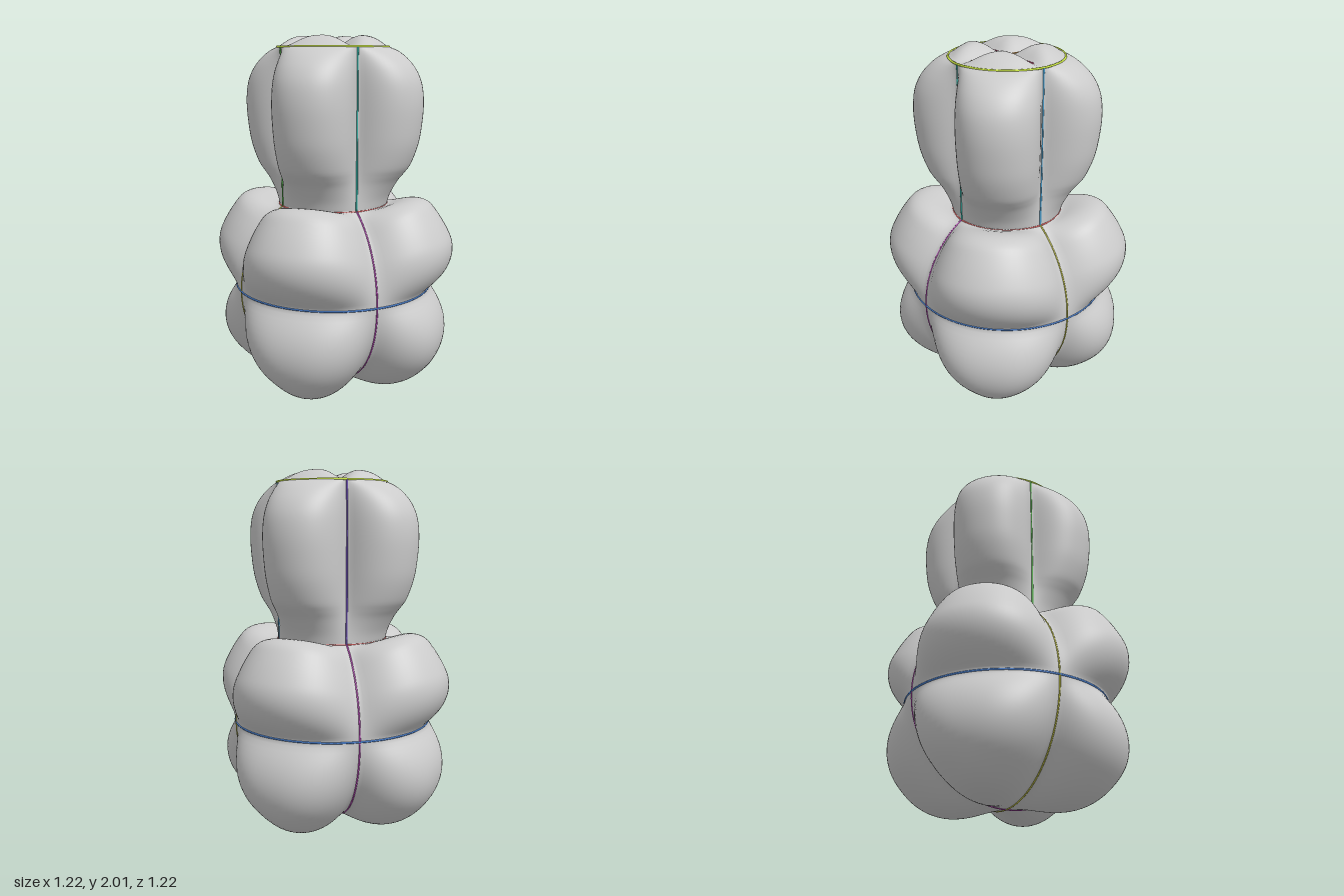
import * as THREE from 'three';

const SPHERE_R = 0.565, SPHERE_Y = 0.59; // lower ball
const NECK_R = 0.31, NECK_Y = 1.06, TOP_Y = 1.94; // upper column
const NECK_ELEV = Math.acos(NECK_R / SPHERE_R);
const SEGMENTS = 128;

// Pillow profile: 0 on a seam, rising quickly to 1 away from it
function puff(t) {
  t = Math.min(Math.max(t, 0), 1);
  const u = (1.1 * t * t) / (t + 0.1);
  return 1 - (1 - u) ** 2;
}

// Bulge of the column lobes by height
const columnBulge = [
  [1.06, 0], [1.12, 0.02], [1.2, 0.065], [1.25, 0.105], [1.3, 0.14], [1.4, 0.178], [1.5, 0.197],
  [1.63, 0.207], [1.74, 0.195], [1.82, 0.16], [1.88, 0.108], [1.92, 0.052], [1.94, 0],
];
const bulgeCurve = new THREE.SplineCurve(columnBulge.map(([y, b]) => new THREE.Vector2(b, y)));

const seamDistance = (c, s) => Math.min(Math.abs(c), Math.abs(s)) / Math.SQRT1_2;

function ballPoint(elev, c, s, swell) {
  const r = SPHERE_R + swell;
  return [r * Math.cos(elev) * c, SPHERE_Y + r * Math.sin(elev), r * Math.cos(elev) * s];
}

// Each section maps v (0..1, upwards) and an angle's cosine and sine to a point
const sections = [
  { // lower ball lobes
    rows: 36,
    point(v, c, s) {
      const e = (v - 1) * Math.PI / 2, k = Math.sqrt(3);
      const h = Math.cos(e) * k;
      const swell = 0.175 * puff(Math.abs(h * c)) * puff(Math.abs(h * s)) * puff(-Math.sin(e) * k);
      return ballPoint(e, c, s, swell);
    },
  },
  { // upper ball lobes
    rows: 36,
    point(v, c, s) {
      const e = v * NECK_ELEV, deg = Math.PI / 180;
      const swell = 0.187 * puff(seamDistance(c, s)) * puff(e / (25 * deg)) * puff((NECK_ELEV - e) / (17 * deg));
      return ballPoint(e, c, s, swell);
    },
  },
  { // column lobes
    rows: 48,
    point(v, c, s) {
      const p = bulgeCurve.getPoint(v);
      const r = NECK_R + p.x * puff(seamDistance(c, s));
      return [r * c, p.y, r * s];
    },
  },
  { // cushioned cap
    rows: 24,
    point(v, c, s) {
      const r = NECK_R * (1 - v), x = r * c, z = r * s;
      const lift = puff(Math.abs(x) / 0.12) * puff(Math.abs(z) / 0.12) * puff((NECK_R - r) / 0.14);
      return [x, TOP_Y + 0.061 * lift, z];
    },
  },
];

function bodyGeometry() {
  const positions = [], index = [];
  let rowCount = 0;
  sections.forEach(({ rows, point }, n) => {
    for (let i = n ? 1 : 0; i <= rows; i++, rowCount++) {
      for (let j = 0; j < SEGMENTS; j++) {
        const a = (j / SEGMENTS) * Math.PI * 2;
        positions.push(...point(i / rows, Math.cos(a), Math.sin(a)));
      }
    }
  });
  for (let i = 0; i < rowCount - 1; i++) {
    for (let j = 0; j < SEGMENTS; j++) {
      const k = (j + 1) % SEGMENTS;
      const a = i * SEGMENTS + j, b = i * SEGMENTS + k;
      const d = a + SEGMENTS, e = b + SEGMENTS;
      index.push(a, d, b, b, d, e);
    }
  }
  const geometry = new THREE.BufferGeometry();
  geometry.setAttribute('position', new THREE.Float32BufferAttribute(positions, 3));
  geometry.setIndex(index);
  geometry.computeVertexNormals();
  return geometry;
}

export function createModel() {
  const model = new THREE.Group();
  const add = (name, geometry, color) => {
    const mesh = new THREE.Mesh(geometry, new THREE.MeshStandardMaterial({ color }));
    mesh.name = name;
    model.add(mesh);
    return mesh;
  };

  add('lobedBody', bodyGeometry(), 0xcccccc);

  // Horizontal seam rings
  const ring = (name, radius, y, color) =>
    add(name, new THREE.TorusGeometry(radius, 0.006, 6, 96).rotateX(Math.PI / 2), color).position.set(0, y, 0);
  ring('topRing', NECK_R, TOP_Y, 0xd2ee48);
  ring('neckRing', NECK_R, NECK_Y, 0xc85858);
  ring('equatorRing', SPHERE_R, SPHERE_Y, 0x4c82d0);

  // Upright seams around the ball, open at the neck
  const meridian = (name, turn, color) => {
    const arc = Math.PI + 2 * NECK_ELEV;
    const geometry = new THREE.TorusGeometry(SPHERE_R, 0.005, 6, 96, arc);
    geometry.rotateZ(Math.PI - NECK_ELEV).rotateY(turn);
    add(name, geometry, color).position.y = SPHERE_Y;
  };
  meridian('sideMeridian', 0, 0xc0c048);
  meridian('frontBackMeridian', Math.PI / 2, 0xc050c0);

  // Straight seams up the column
  const columnSeams = [
    ['frontSeam', 0, 1, 0x36b0a4], ['backSeam', 0, -1, 0x6c50b0],
    ['leftSeam', 1, 0, 0x489ac8], ['rightSeam', -1, 0, 0x56b04e],
  ];
  for (const [name, x, z, color] of columnSeams) {
    const seam = add(name, new THREE.CylinderGeometry(0.006, 0.006, TOP_Y - NECK_Y, 6), color);
    seam.position.set(x * NECK_R, (TOP_Y + NECK_Y) / 2, z * NECK_R);
  }

  // Crossed seams on the cap
  const bar = () => new THREE.CylinderGeometry(0.004, 0.004, 0.45, 6);
  add('capSeamAcross', bar().rotateZ(Math.PI / 2), 0xc85078).position.y = TOP_Y + 0.003;
  add('capSeamAlong', bar().rotateX(Math.PI / 2), 0xe0a044).position.y = TOP_Y + 0.003;

  return model;
}
